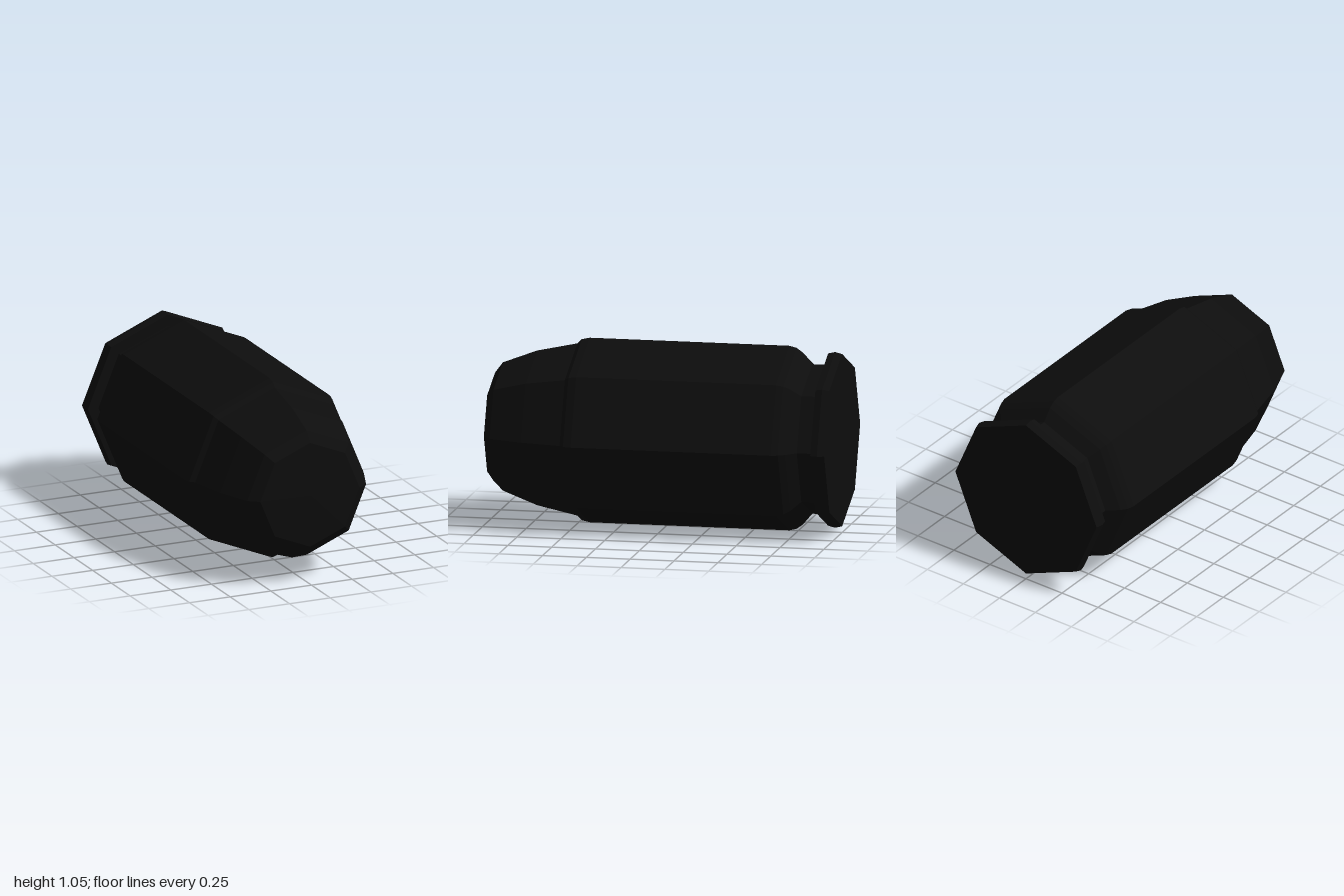
import * as THREE from 'three';

const SIDES = 8;
const AXIS_HEIGHT = 0.525;

export function createModel() {
  const model = new THREE.Group();
  model.name = 'cartridge';

  const nearBlack = new THREE.MeshStandardMaterial({ color: 0x0d0d0d, flatShading: true });
  nearBlack.name = 'near black';

  // Octagonal turned part; profile is [radius, z] from back to front
  function addTurned(name, profile) {
    const points = profile.map(([r, z]) => new THREE.Vector2(r, z));
    const geometry = new THREE.LatheGeometry(points, SIDES);
    geometry.rotateX(Math.PI / 2);
    const mesh = new THREE.Mesh(geometry, nearBlack);
    mesh.name = name;
    mesh.position.y = AXIS_HEIGHT;
    model.add(mesh);
  }

  // Flat base with its bevelled rim
  addTurned('rim', [
    [0, -1], [0.49, -1], [0.5, -0.96], [0.49, -0.92], [0.425, -0.92],
  ]);

  // Narrow groove in front of the rim
  addTurned('extractorGroove', [[0.425, -0.92], [0.425, -0.83]]);

  // Straight case with rounded shoulder and mouth
  addTurned('case', [
    [0.425, -0.83], [0.49, -0.775], [0.515, -0.74], [0.525, -0.7],
    [0.525, 0.44], [0.515, 0.485], [0.49, 0.51],
  ]);

  // Tapered blunt tip
  addTurned('bullet', [
    [0.49, 0.51], [0.44, 0.74], [0.365, 0.935], [0.305, 0.98], [0, 1],
  ]);

  return model;
}
